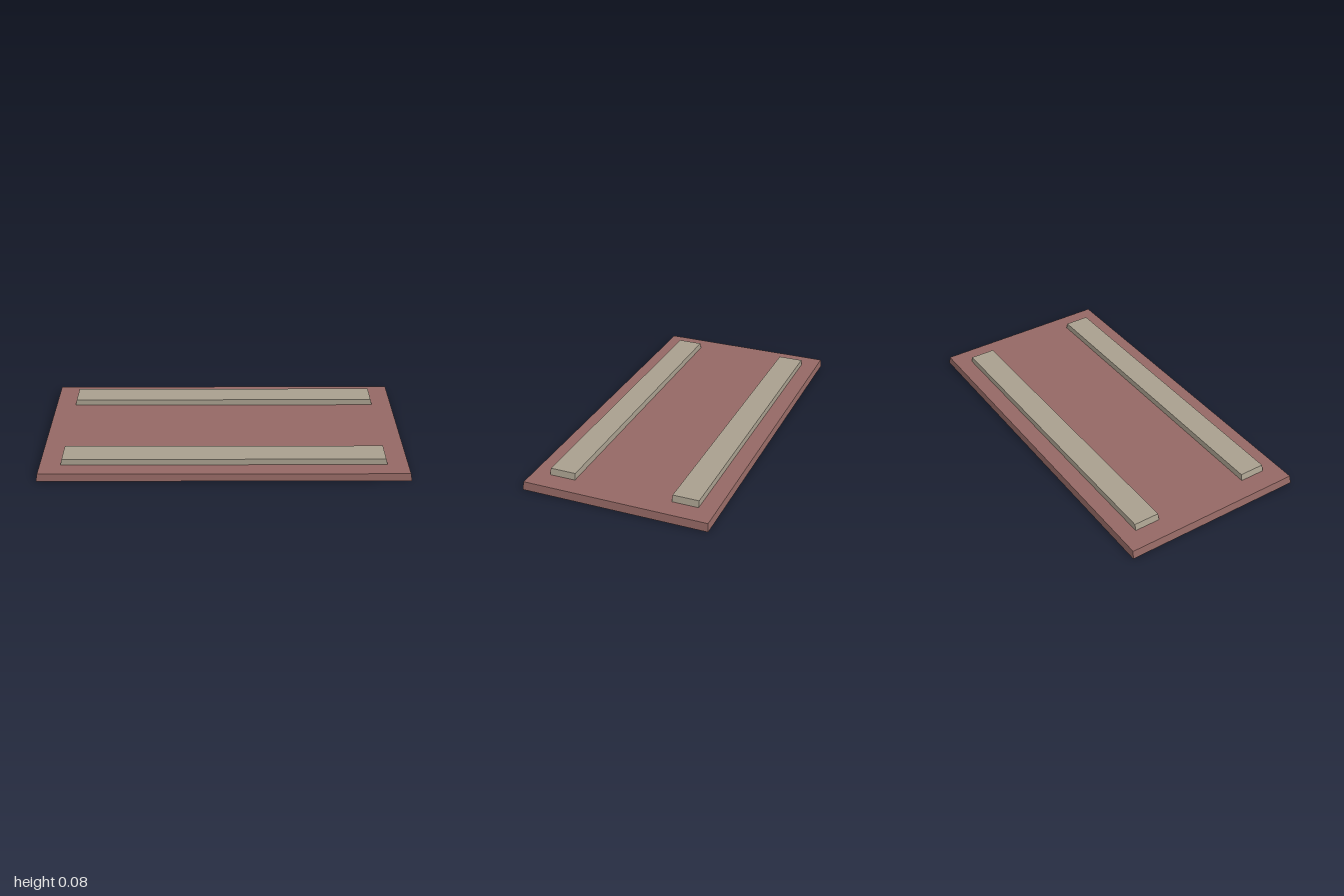
import * as THREE from 'three';

// Box standing on y = 0 whose top face is drawn in by insetX and insetZ
function taperedBox(width, height, depth, insetX, insetZ) {
  const geometry = new THREE.BoxGeometry(width, height, depth).translate(0, height / 2, 0);
  const p = geometry.attributes.position;
  for (let i = 0; i < p.count; i++) {
    if (p.getY(i) < height / 2) continue;
    p.setX(i, p.getX(i) - Math.sign(p.getX(i)) * insetX);
    p.setZ(i, p.getZ(i) - Math.sign(p.getZ(i)) * insetZ);
  }
  geometry.computeVertexNormals();
  return geometry;
}

export function createModel() {
  const group = new THREE.Group();
  group.name = 'railedBoard';
  const boardMaterial = new THREE.MeshStandardMaterial({ color: 0x946864, flatShading: true });
  const railMaterial = new THREE.MeshStandardMaterial({ color: 0xa89f8e, flatShading: true });

  // Flat board with slightly sloping edges
  const boardHeight = 0.043;
  const board = new THREE.Mesh(taperedBox(2, boardHeight, 1.016, 0.008, 0.004), boardMaterial);
  board.name = 'board';
  group.add(board);

  // Two long rails with sloping ends, front and back
  const railGeometry = taperedBox(1.76, 0.034, 0.143, 0.009, 0.001);
  for (const side of [1, -1]) {
    const rail = new THREE.Mesh(railGeometry, railMaterial);
    rail.name = side > 0 ? 'frontRail' : 'backRail';
    rail.position.set(0, boardHeight, side * 0.34);
    group.add(rail);
  }
  return group;
}
